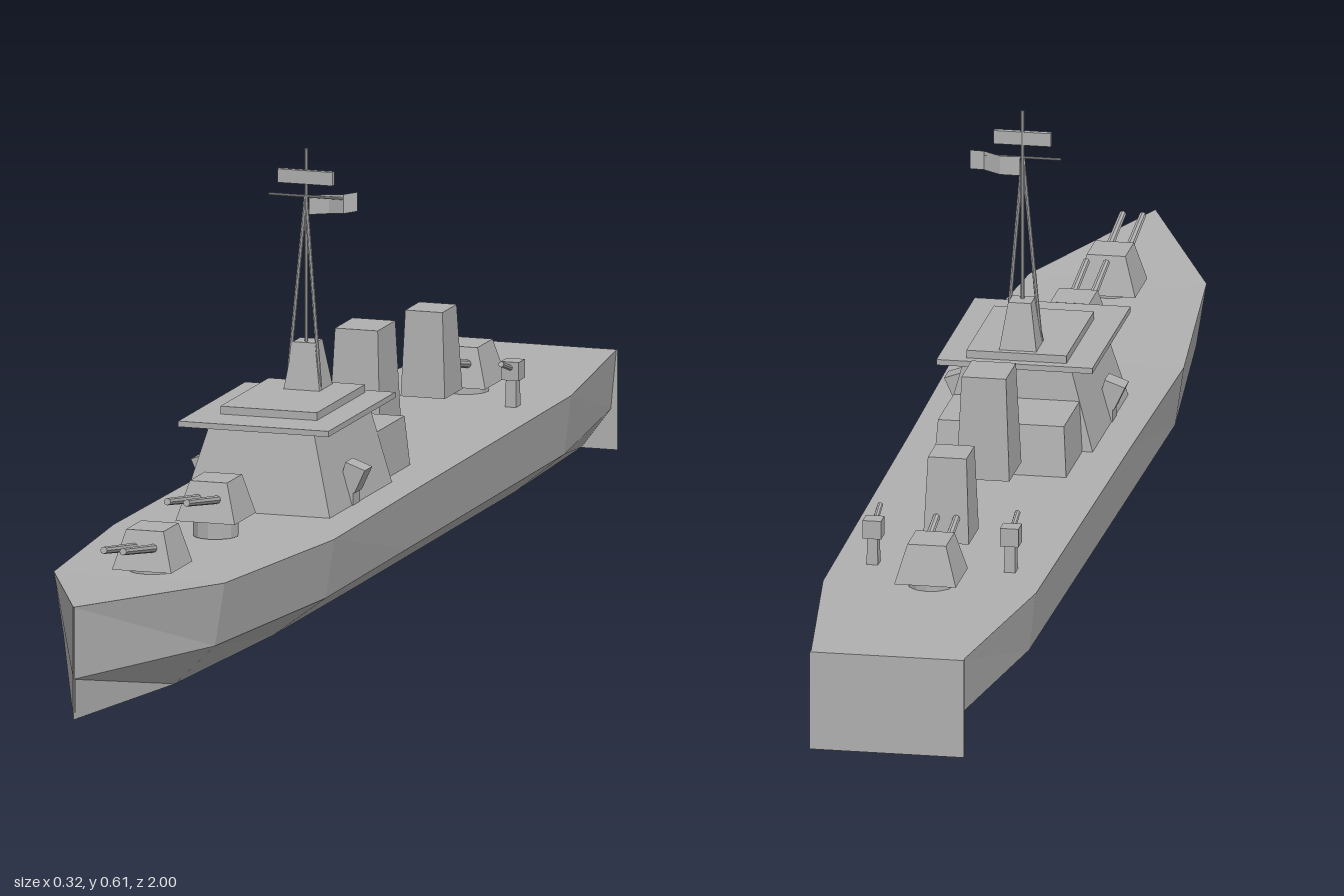
import * as THREE from 'three';

export function createModel() {
  const ship = new THREE.Group();
  ship.name = 'warship';
  const grey = new THREE.MeshStandardMaterial({ color: 0xb0b0b0, side: THREE.DoubleSide, flatShading: true });
  grey.name = 'ship grey';

  function add(name, geometry, parent = ship) {
    const m = new THREE.Mesh(geometry, grey);
    m.name = name;
    parent.add(m);
    return m;
  }

  // Tapered block: half widths and z ranges at the bottom and the top
  function block(name, y0, y1, w0, w1, back0, front0, back1 = back0, front1 = front0, parent = ship, x = 0) {
    const g = new THREE.BoxGeometry(2, 1, 1);
    const p = g.attributes.position;
    for (let i = 0; i < p.count; i++) {
      const top = p.getY(i) > 0, front = p.getZ(i) > 0;
      p.setXYZ(i, x + p.getX(i) * (top ? w1 : w0), top ? y1 : y0,
        top ? (front ? front1 : back1) : (front ? front0 : back0));
    }
    g.computeVertexNormals();
    return add(name, g, parent);
  }

  // Round rod between two points
  function rod(name, a, b, r, parent = ship, r2 = r) {
    const from = new THREE.Vector3(...a), to = new THREE.Vector3(...b);
    const dir = to.clone().sub(from);
    const m = add(name, new THREE.CylinderGeometry(r2, r, dir.length(), 8), parent);
    m.position.copy(from).add(to).multiplyScalar(0.5);
    m.quaternion.setFromUnitVectors(new THREE.Vector3(0, 1, 0), dir.normalize());
    return m;
  }

  // Hull and deck, lofted: z, deck half width, deck height, chine and bottom half widths
  const stations = [
    [-1, 0.106, 0.14, 0.098, 0.055],
    [-0.68, 0.149, 0.14, 0.139, 0.068],
    [0, 0.155, 0.14, 0.145, 0.072],
    [0.36, 0.16, 0.14, 0.148, 0.072],
    [0.72, 0.124, 0.146, 0.11, 0.052],
    [1, 0, 0.158, 0, 0],
  ];
  const rings = stations.map(([z, d, dy, c, b]) => [
    [d, dy, z], [c, 0.057, z], [b, 0, z], [-b, 0, z], [-c, 0.057, z], [-d, dy, z],
  ]);
  const verts = [];
  for (let i = 0; i < rings.length - 1; i++) {
    const a = rings[i], b = rings[i + 1];
    for (let k = 0; k < 6; k++) {
      const n = (k + 1) % 6;
      verts.push(...a[k], ...b[k], ...a[n], ...b[k], ...b[n], ...a[n]);
    }
  }
  const hull = new THREE.BufferGeometry();
  hull.setAttribute('position', new THREE.Float32BufferAttribute(verts, 3));
  hull.computeVertexNormals();
  add('hull', hull);
  block('transom', 0, 0.14, 0.108, 0.108, -1, -0.996);
  rod('stem', [0, 0.01, 0.997], [0, 0.158, 0.997], 0.002);

  // Bridge and deckhouse
  block('bridge', 0.138, 0.257, 0.108, 0.075, -0.04, 0.225, -0.03, 0.2);
  block('deckhouse', 0.138, 0.21, 0.093, 0.088, -0.16, -0.03, -0.15, -0.03);
  block('bridgeRoof', 0.256, 0.264, 0.109, 0.109, -0.05, 0.235);
  block('upperRoof', 0.264, 0.275, 0.07, 0.07, -0.035, 0.17);
  block('mastPedestal', 0.275, 0.34, 0.026, 0.016, -0.025, 0.03, -0.012, 0.02);

  // Funnels
  block('forwardFunnel', 0.17, 0.315, 0.037, 0.031, -0.285, -0.195, -0.278, -0.203);
  block('aftFunnel', 0.165, 0.285, 0.032, 0.027, -0.56, -0.485, -0.55, -0.49);

  // Twin gun turrets
  function turret(name, z, y, reach) {
    const g = new THREE.Group();
    g.name = name;
    g.position.set(0, y, z);
    ship.add(g);
    const ring = add('barbette', new THREE.CylinderGeometry(0.032, 0.032, 0.035, 12), g);
    ring.position.y = -0.008;
    block('turretHouse', 0, 0.055, 0.043, 0.027, -0.045, 0.045, -0.033, 0.031, g);
    for (const x of [-0.014, 0.014]) rod('barrel', [x, 0.03, 0.025], [x, 0.052, reach], 0.006, g, 0.005);
  }
  turret('forwardTurret', 0.665, 0.152, 0.165);
  turret('raisedTurret', 0.395, 0.168, 0.165);
  turret('aftTurret', -0.67, 0.152, 0.13);

  for (const s of [-1, 1]) {
    // Bridge side mounts
    const mount = new THREE.Group();
    mount.name = 'sideMount';
    mount.position.set(s * 0.106, 0.178, 0.115);
    mount.rotation.z = -s * 0.35;
    ship.add(mount);
    block('mountBody', -0.018, 0.018, 0.012, 0.015, -0.016, 0.016, -0.016, 0.016, mount);
    block('mountFoot', 0.138, 0.165, 0.009, 0.009, 0.1, 0.13, 0.1, 0.13, ship, s * 0.1);

    // Light deck guns
    const gun = new THREE.Group();
    gun.name = 'deckGun';
    gun.position.set(s * 0.096, 0.14, -0.587);
    ship.add(gun);
    block('gunPost', -0.002, 0.05, 0.008, 0.007, -0.01, 0.01, -0.008, 0.008, gun);
    block('gunCradle', 0.038, 0.064, 0.013, 0.013, -0.013, 0.013, -0.013, 0.013, gun);
    rod('gunBarrel', [0, 0.052, 0], [0, 0.068, 0.05], 0.004, gun);

    // Tripod legs
    rod('mastLeg', [s * 0.024, 0.275, 0.02], [0, 0.545, 0.012], 0.0028);
  }

  // Mast, yard, radar and flag
  rod('mast', [0, 0.275, 0.01], [0, 0.61, 0.01], 0.0028);
  rod('yard', [-0.054, 0.543, 0.01], [0.054, 0.543, 0.01], 0.0018);
  block('radarPlate', 0.561, 0.58, 0.04, 0.04, 0.008, 0.016);
  const flagPoints = [[0.003, 0.517, 0.008], [0.03, 0.519, 0.002], [0.054, 0.522, 0.01], [0.072, 0.525, 0.002]];
  const cloth = new THREE.PlaneGeometry(1, 1, 3, 1);
  flagPoints.forEach(([x, y, z], i) => {
    cloth.attributes.position.setXYZ(i, x, y + 0.027, z);
    cloth.attributes.position.setXYZ(i + 4, x, y, z);
  });
  cloth.computeVertexNormals();
  add('flag', cloth);

  return ship;
}
